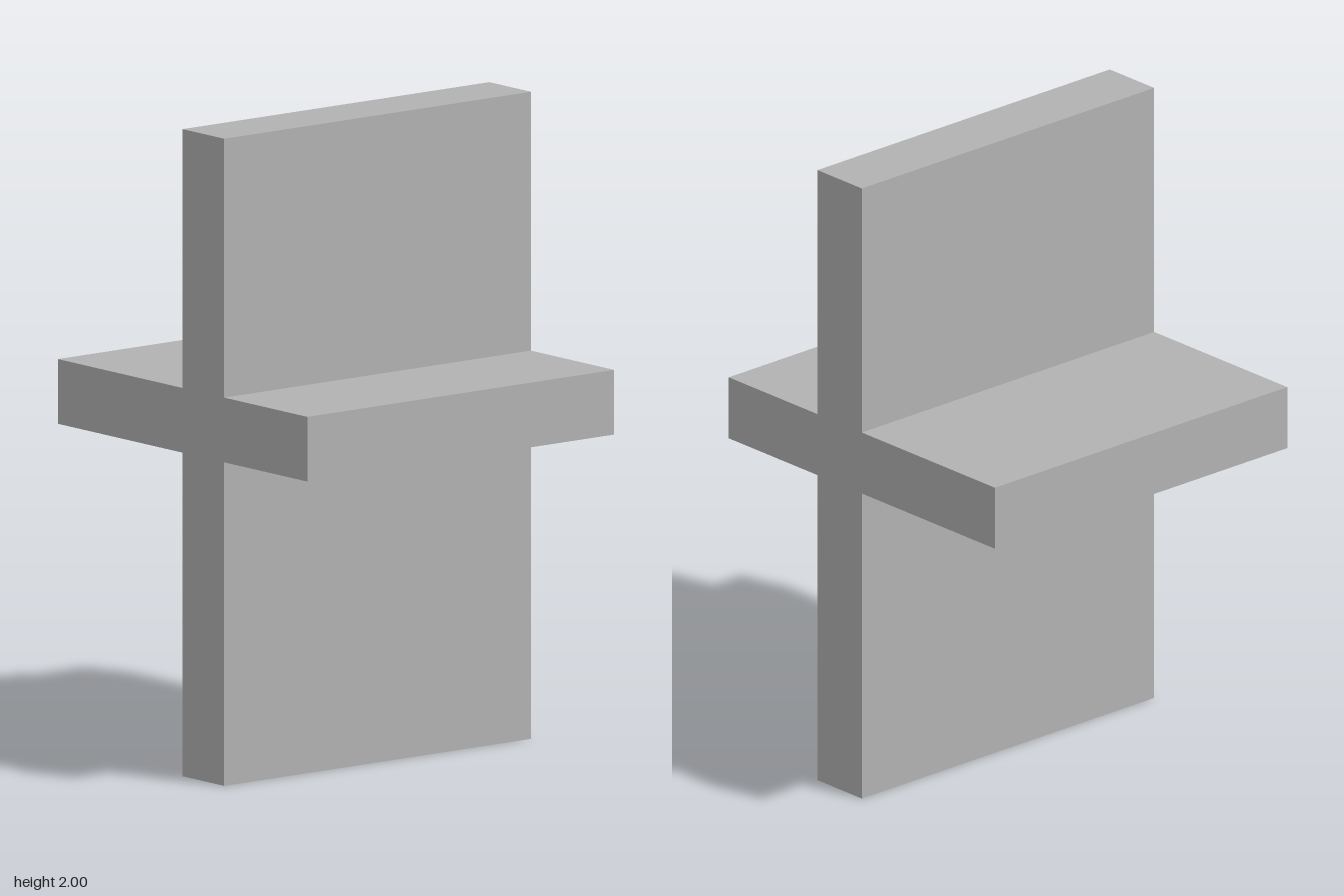
import * as THREE from 'three';

export function createModel() {
  const group = new THREE.Group();
  const grey = new THREE.MeshStandardMaterial({ color: 0xb2b2b2 });
  grey.name = 'grey';

  // Cross-shaped side profile as (z, y) corners: upright slab and level slab in one solid
  const corners = [
    [0.2, 0], [0, 0], [0, 1], [-0.6, 1], [-0.6, 1.2], [0, 1.2],
    [0, 2], [0.2, 2], [0.2, 1.2], [0.6, 1.2], [0.6, 1], [0.2, 1],
  ];
  const profile = new THREE.Shape(corners.map(([z, y]) => new THREE.Vector2(-z, y)));

  // Extrude across the width, then turn so the depth runs along x
  const width = 1.2;
  const geometry = new THREE.ExtrudeGeometry(profile, { depth: width, bevelEnabled: false });
  geometry.rotateY(Math.PI / 2).translate(-width / 2, 0, 0);

  const slabs = new THREE.Mesh(geometry, grey);
  slabs.name = 'crossedSlabs';
  group.add(slabs);
  return group;
}
